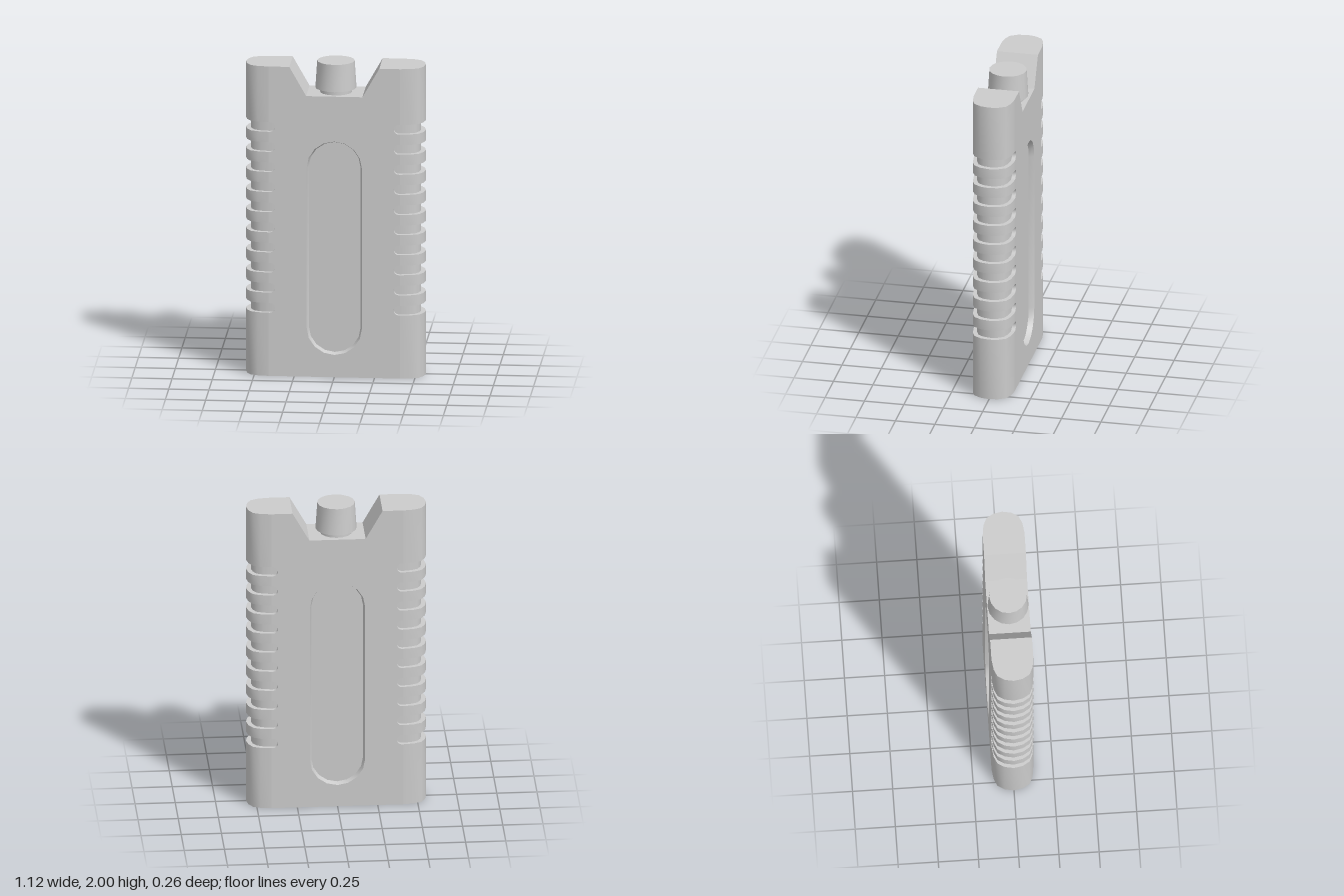
import * as THREE from 'three';
import { toCreasedNormals } from 'three/addons/utils/BufferGeometryUtils.js';

const H = 1.985;            // body height
const FLAT = 0.41;          // half width of the flat faces
const FACE = 0.13;          // half thickness
const FLOOR = 0.097;        // recess floor depth
const SLOTS = 10, SLOT_R = 0.031, SLOT_Y = 0.436, PITCH = 0.129;
const slotY = (i) => SLOT_Y + PITCH * i;

const material = new THREE.MeshStandardMaterial({ color: 0xcccccc });

function add(group, name, geometry) {
  const mesh = new THREE.Mesh(toCreasedNormals(geometry, 0.6), material);
  mesh.name = name;
  group.add(mesh);
  return mesh;
}

// Stadium-shaped loop for the recess
function stadium(r, n = 8) {
  const pts = [];
  for (const [cy, start] of [[1.34, 0], [0.315, Math.PI]]) {
    for (let i = 0; i <= n; i++) {
      const a = start + Math.PI * i / n;
      pts.push(new THREE.Vector2(r * Math.cos(a), cy + r * Math.sin(a)));
    }
  }
  return pts;
}

// Flat outline with the notch on top; optional round-ended slots at both sides
function faceShape(withSlots) {
  const side = [new THREE.Vector2(FLAT, 0)];
  for (let i = 0; withSlots && i < SLOTS; i++) {
    const y = slotY(i);
    side.push(new THREE.Vector2(FLAT, y - SLOT_R));
    for (let k = 0; k <= 8; k++) {
      const a = -Math.PI / 2 + Math.PI * k / 8;
      side.push(new THREE.Vector2(0.40 - SLOT_R * Math.cos(a), y + SLOT_R * Math.sin(a)));
    }
    side.push(new THREE.Vector2(FLAT, y + SLOT_R));
  }
  side.push(new THREE.Vector2(FLAT, H), new THREE.Vector2(0.28, H), new THREE.Vector2(0.175, 1.8));
  const mirrored = side.map((p) => new THREE.Vector2(-p.x, p.y)).reverse();
  return new THREE.Shape([...side, ...mirrored]);
}

// Rounded end outline in plan, extruded upwards between two heights
function endBlock(points, y0, y1) {
  const back = points.slice(0, -1).reverse().map(([x, z]) => [x, -z]);
  const shape = new THREE.Shape([...points, ...back].map(([x, z]) => new THREE.Vector2(x, z)));
  const geo = new THREE.ExtrudeGeometry(shape, { depth: y1 - y0, bevelEnabled: false });
  return geo.rotateX(-Math.PI / 2).translate(0, y0, 0);
}

// Tapered wall between the rim and floor of the recess
function recessWall() {
  const rim = stadium(0.172), base = stadium(0.161);
  const pos = [], index = [], n = rim.length;
  for (let i = 0; i < n; i++) {
    pos.push(rim[i].x, rim[i].y, FACE, base[i].x, base[i].y, FLOOR);
    const a = 2 * i, b = 2 * ((i + 1) % n);
    index.push(a, b, a + 1, b, b + 1, a + 1);
  }
  const geo = new THREE.BufferGeometry();
  geo.setAttribute('position', new THREE.Float32BufferAttribute(pos, 3));
  geo.setIndex(index);
  return geo;
}

export function createModel() {
  const model = new THREE.Group();
  model.name = 'coolingPack';

  // Inner slab, whose faces are the recess floors
  add(model, 'core', new THREE.ExtrudeGeometry(faceShape(false), { depth: 2 * FLOOR, bevelEnabled: false })
    .translate(0, 0, -FLOOR));

  // Front and back face plates with recess
  for (const [name, turn] of [['front', 0], ['back', Math.PI]]) {
    const shape = faceShape(true);
    shape.holes.push(new THREE.Path(stadium(0.172).reverse()));
    const plate = new THREE.ExtrudeGeometry(shape, { depth: FACE - FLOOR, bevelEnabled: false });
    add(model, name + 'Face', plate.translate(0, 0, FLOOR)).rotation.y = turn;
    add(model, name + 'RecessWall', recessWall()).rotation.y = turn;
  }

  // Rounded sides: solid ends, ribs, and the narrower core seen in the grooves
  const outer = [[FLAT, -FACE], [0.477, -0.121], [0.523, -0.1], [0.549, -0.057], [0.56, 0]];
  const inner = [[0.35, -0.105], [0.41, -0.105], [0.46, -0.097], [0.5, -0.079], [0.521, -0.045], [0.53, 0]];
  for (const [name, turn] of [['left', 0], ['right', Math.PI]]) {
    const side = new THREE.Group();
    side.name = name + 'Grip';
    side.rotation.y = turn;
    for (let i = 0; i <= SLOTS; i++) {
      const y0 = i === 0 ? 0 : slotY(i - 1) + SLOT_R;
      const y1 = i === SLOTS ? H : slotY(i) - SLOT_R;
      add(side, i === 0 ? 'lowerEnd' : i === SLOTS ? 'upperEnd' : 'rib', endBlock(outer, y0, y1));
    }
    add(side, 'grooveCore', endBlock(inner, 0.39, 1.645));
    model.add(side);
  }

  // Neck and tapered cap in the notch
  add(model, 'neck', new THREE.CylinderGeometry(0.1, 0.1, 0.05, 16).translate(0, 1.815, 0));
  add(model, 'cap', new THREE.CylinderGeometry(0.117, 0.128, 0.172, 16).translate(0, 1.914, 0));

  return model;
}
